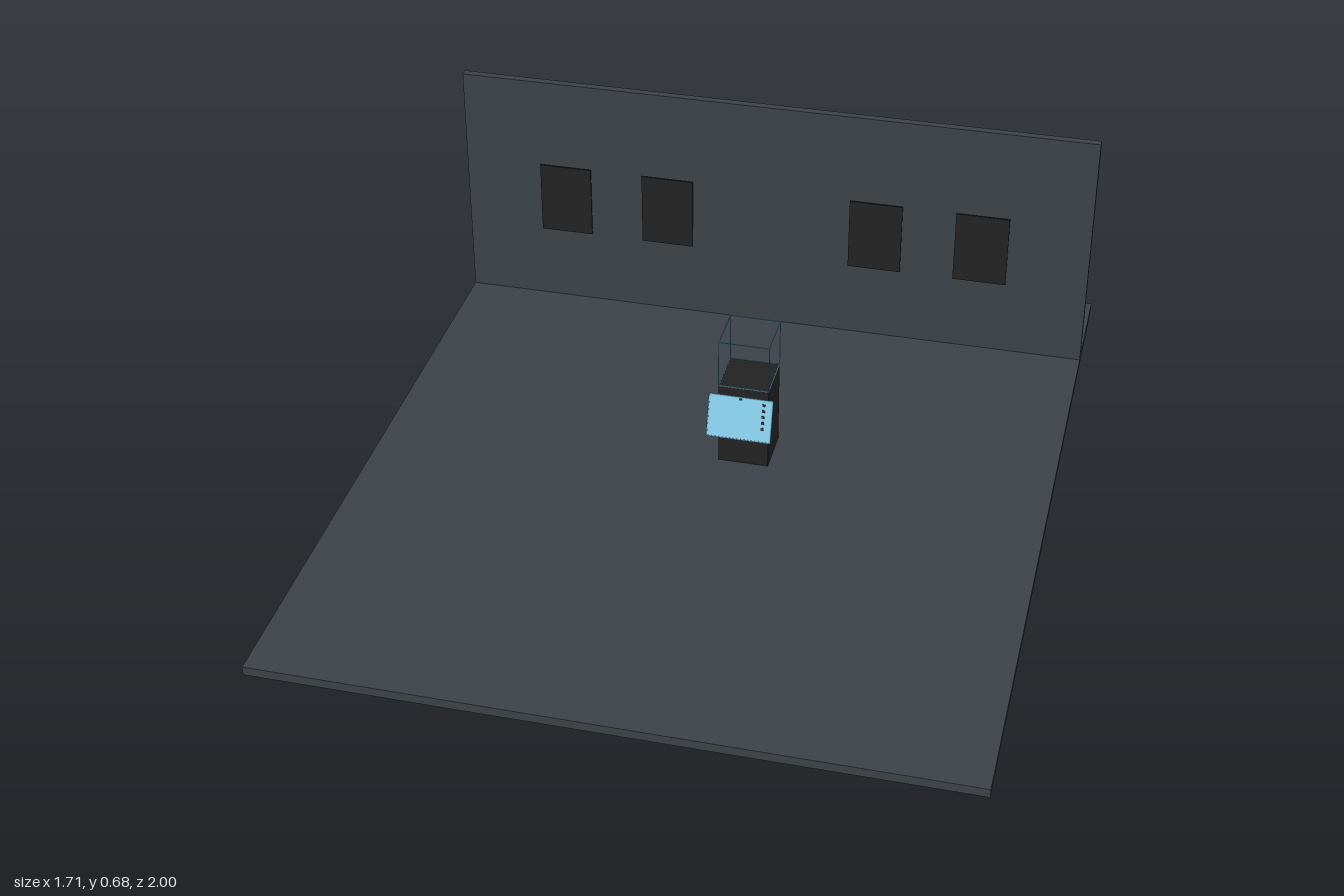
import * as THREE from 'three';

export function createModel() {
  const model = new THREE.Group();
  model.name = 'displayRoom';
  const mat = (name, color) => {
    const m = new THREE.MeshStandardMaterial({ color });
    m.name = name;
    return m;
  };
  const slate = mat('slate', 0x3c4348);
  const black = mat('black', 0x222222);
  const skyBlue = mat('skyBlue', 0x87ceeb);
  const deepBlue = mat('deepBlue', 0x5f9fb8);

  // Box helper: size, then centre
  const box = (parent, name, material, [w, h, d], [x, y, z]) => {
    const mesh = new THREE.Mesh(new THREE.BoxGeometry(w, h, d), material);
    mesh.name = name;
    mesh.position.set(x, y, z);
    parent.add(mesh);
    return mesh;
  };

  // Floor slab and back wall
  box(model, 'floor', slate, [1.71, 0.023, 2], [0, 0.0115, 0]);
  box(model, 'backWall', slate, [1.71, 0.659, 0.021], [0, 0.3515, -0.718]);

  // Four dark panels hung just in front of the wall
  for (const x of [-0.573, -0.288, 0.284, 0.569])
    box(model, 'wallPanel', black, [0.142, 0.2, 0.004], [x, 0.336, -0.698]);

  // Pedestal
  const cx = 0.076, cz = -0.099, size = 0.128;
  box(model, 'pedestal', black, [size, 0.227, size], [cx, 0.1365, cz]);

  // Open display case made from thin rods
  const displayCase = new THREE.Group();
  displayCase.name = 'displayCase';
  displayCase.position.set(cx, 0.314, cz);
  model.add(displayCase);
  const rod = 0.002, half = size / 2;
  for (const a of [-half, half]) {
    for (const b of [-half, half]) {
      box(displayCase, 'caseUpright', deepBlue, [rod, size, rod], [a, 0, b]);
      box(displayCase, 'caseRailAcross', deepBlue, [size, rod, rod], [0, a, b]);
      box(displayCase, 'caseRailDeep', deepBlue, [rod, rod, size], [a, b, 0]);
    }
  }

  // Tilted information screen with a thin border
  const screen = new THREE.Group();
  screen.name = 'screen';
  screen.position.set(cx, 0.19, 0.009);
  screen.rotation.x = -0.296;
  model.add(screen);
  const w = 0.162, h = 0.11;
  box(screen, 'screenPlate', skyBlue, [w, h, 0.002], [0, 0, 0]);
  for (const s of [-1, 1]) {
    box(screen, 'screenBorder', deepBlue, [w, 0.003, 0.004], [0, s * h / 2, 0]);
    box(screen, 'screenBorder', deepBlue, [0.003, h, 0.004], [s * w / 2, 0, 0]);
  }

  // Column of small buttons, and a stud at the top edge
  for (let i = 0; i < 5; i++)
    box(screen, 'button', black, [0.007, 0.007, 0.006], [0.059, 0.042 - i * 0.0155, 0]);
  box(screen, 'topStud', black, [0.008, 0.004, 0.006], [0, 0.05, 0]);

  return model;
}
